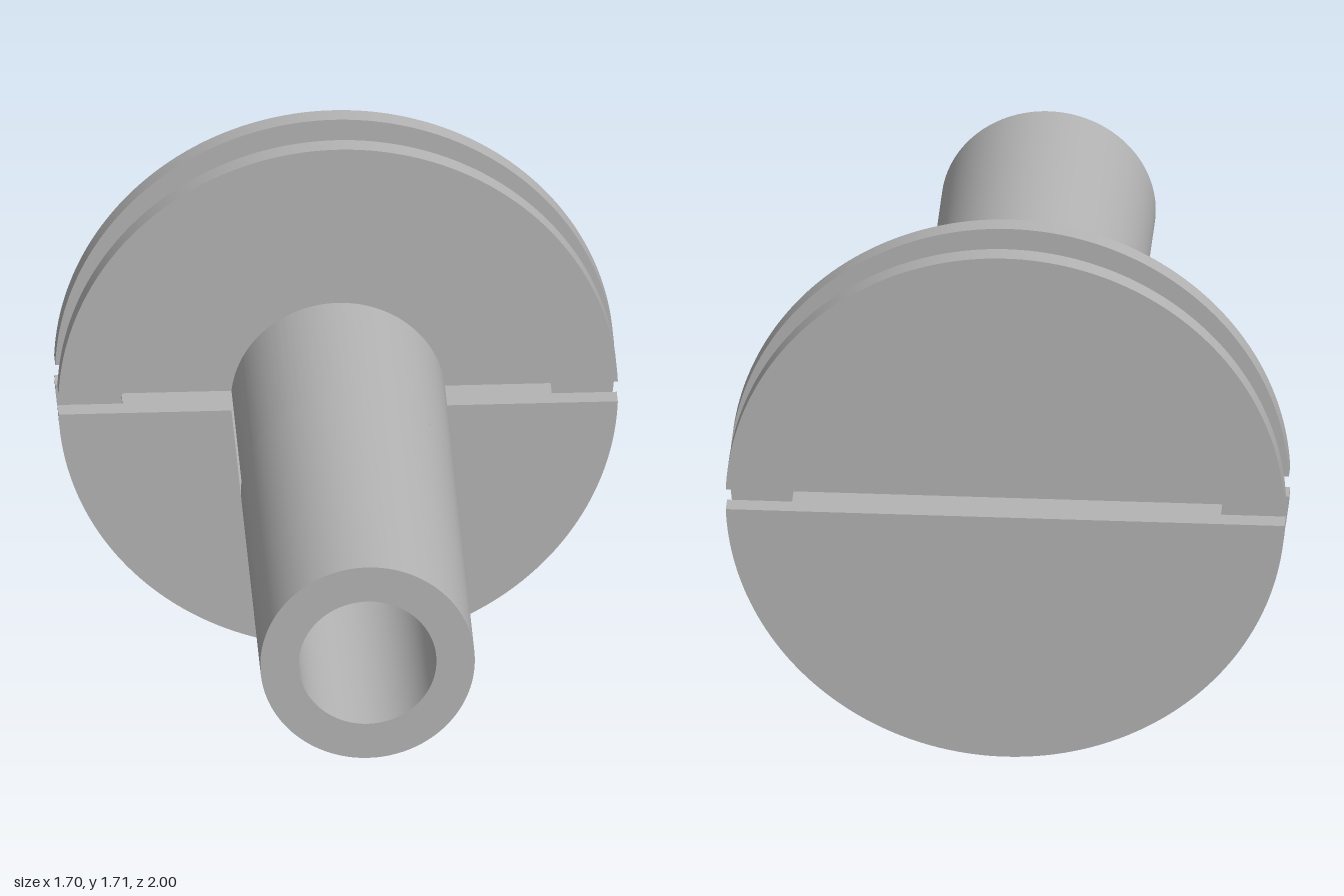
import * as THREE from 'three';
import { toCreasedNormals } from 'three/addons/utils/BufferGeometryUtils.js';

const AXIS_Y = 0.853;      // height of the shaft axis
const SLOT = 0.034;        // half the slot's height
const SHAFT_R = 0.327;
const SLOT_END = -0.145;   // z where the slot stops in the shaft

// Half of a slotted disc: a circle segment above the slot, extruded along z
function segmentGeometry(radius, zBack, zFront) {
  const a = Math.asin(SLOT / radius);
  const shape = new THREE.Shape();
  shape.absarc(0, 0, radius, a, Math.PI - a, false);
  shape.closePath();
  const geo = new THREE.ExtrudeGeometry(shape, {
    depth: zFront - zBack, bevelEnabled: false, curveSegments: 64,
  });
  geo.translate(0, 0, zBack);
  return toCreasedNormals(geo, 0.5);
}

export function createModel() {
  const model = new THREE.Group();
  model.name = 'slottedSpool';
  const metal = new THREE.MeshStandardMaterial({ color: 0xb4b4b4 });
  metal.name = 'grey metal';

  // Unslotted front of the shaft with its blind bore
  const profile = [
    [0, SLOT_END], [SHAFT_R, SLOT_END], [SHAFT_R, 1], [0.21, 1], [0.21, 0.2], [0, 0.2],
  ].map(([r, z]) => new THREE.Vector2(r, z));
  const lathe = new THREE.LatheGeometry(profile, 128);
  lathe.rotateX(Math.PI / 2);
  const shaft = new THREE.Mesh(toCreasedNormals(lathe, 0.5), metal);
  shaft.name = 'boredShaft';
  shaft.position.y = AXIS_Y;
  model.add(shaft);

  // Slotted shaft, two flanges and the groove floor between them
  const parts = [
    ['slottedShaft', SHAFT_R, -0.74, SLOT_END],
    ['frontFlange', AXIS_Y, -0.803, -0.74],
    ['grooveHub', 0.655, -0.937, -0.803],
    ['backFlange', AXIS_Y, -1, -0.937],
  ];

  // The lower half is the upper half turned about the axis
  for (const side of ['upper', 'lower']) {
    const half = new THREE.Group();
    half.name = side + 'Half';
    half.position.y = AXIS_Y;
    half.rotation.z = side === 'upper' ? 0 : Math.PI;
    for (const [name, radius, back, front] of parts) {
      const mesh = new THREE.Mesh(segmentGeometry(radius, back, front), metal);
      mesh.name = name;
      half.add(mesh);
    }
    model.add(half);
  }
  return model;
}
